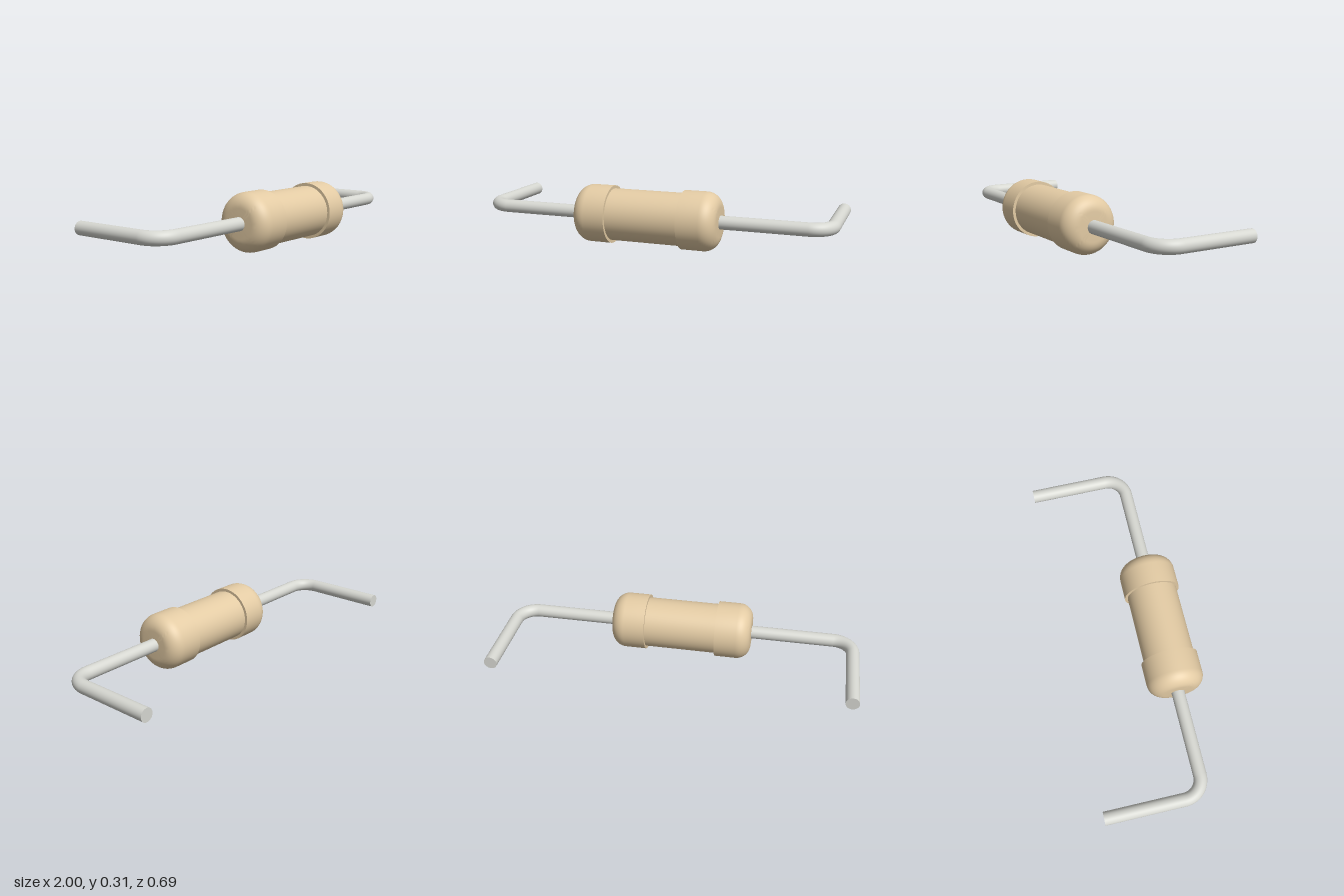
import * as THREE from 'three';
import { toCreasedNormals } from 'three/addons/utils/BufferGeometryUtils.js';

const AXIS_Y = 0.157, AXIS_Z = 0.19;
const BODY_R = 0.141, CAP_R = 0.157, CAP_IN = 0.2, CAP_OUT = 0.397, FILLET = 0.078;
const WIRE_R = 0.036, WIRE_X = 0.964, WIRE_END = -0.347, BEND = 0.108;

export function createModel() {
  const model = new THREE.Group();
  const ceramic = new THREE.MeshStandardMaterial({ color: 0xe3cba4 });
  const metal = new THREE.MeshStandardMaterial({ color: 0xd6d7d1 });

  const add = (parent, name, geometry, material, x = 0, z = AXIS_Z) => {
    const mesh = new THREE.Mesh(geometry, material);
    mesh.name = name;
    mesh.position.set(x, AXIS_Y, z);
    parent.add(mesh);
  };

  // Central barrel, running into both end caps
  const barrel = new THREE.CylinderGeometry(BODY_R, BODY_R, CAP_IN * 2 + 0.02, 64, 1, true);
  add(model, 'barrel', barrel.rotateZ(Math.PI / 2), ceramic);

  // Cap profile: step ring, straight side, rounded shoulder, flat end
  const profile = [new THREE.Vector2(BODY_R - 0.005, CAP_IN), new THREE.Vector2(CAP_R, CAP_IN)];
  for (let i = 0; i <= 12; i++) {
    const a = (i / 12) * Math.PI / 2;
    profile.push(new THREE.Vector2(
      CAP_R - FILLET + FILLET * Math.cos(a),
      CAP_OUT - FILLET + FILLET * Math.sin(a)));
  }
  profile.push(new THREE.Vector2(0, CAP_OUT));

  for (const side of [1, -1]) {
    const label = side > 0 ? 'left' : 'right';
    const cap = new THREE.LatheGeometry(profile, 64).rotateZ(-side * Math.PI / 2);
    add(model, label + 'Cap', toCreasedNormals(cap, 0.7), ceramic);

    // Bent wire lead: straight out, quarter bend, straight back
    const lead = new THREE.Group();
    lead.name = label + 'Lead';
    model.add(lead);

    const bendX = WIRE_X - BEND, bendZ = AXIS_Z - BEND, start = CAP_OUT - 0.02;
    const outer = new THREE.CylinderGeometry(WIRE_R, WIRE_R, bendX - start, 32, 1, true);
    add(lead, 'leadOut', outer.rotateZ(Math.PI / 2), metal, side * (start + bendX) / 2);

    const bend = new THREE.TorusGeometry(BEND, WIRE_R, 32, 16, Math.PI / 2).rotateX(Math.PI / 2);
    if (side < 0) bend.rotateY(-Math.PI / 2);
    add(lead, 'leadBend', bend, metal, side * bendX, bendZ);

    const back = new THREE.CylinderGeometry(WIRE_R, WIRE_R, bendZ - WIRE_END, 32, 1, true);
    add(lead, 'leadBack', back.rotateX(Math.PI / 2), metal, side * WIRE_X, (bendZ + WIRE_END) / 2);

    const tip = new THREE.CircleGeometry(WIRE_R, 32).rotateY(Math.PI);
    add(lead, 'leadTip', tip, metal, side * WIRE_X, WIRE_END);
  }
  return model;
}
